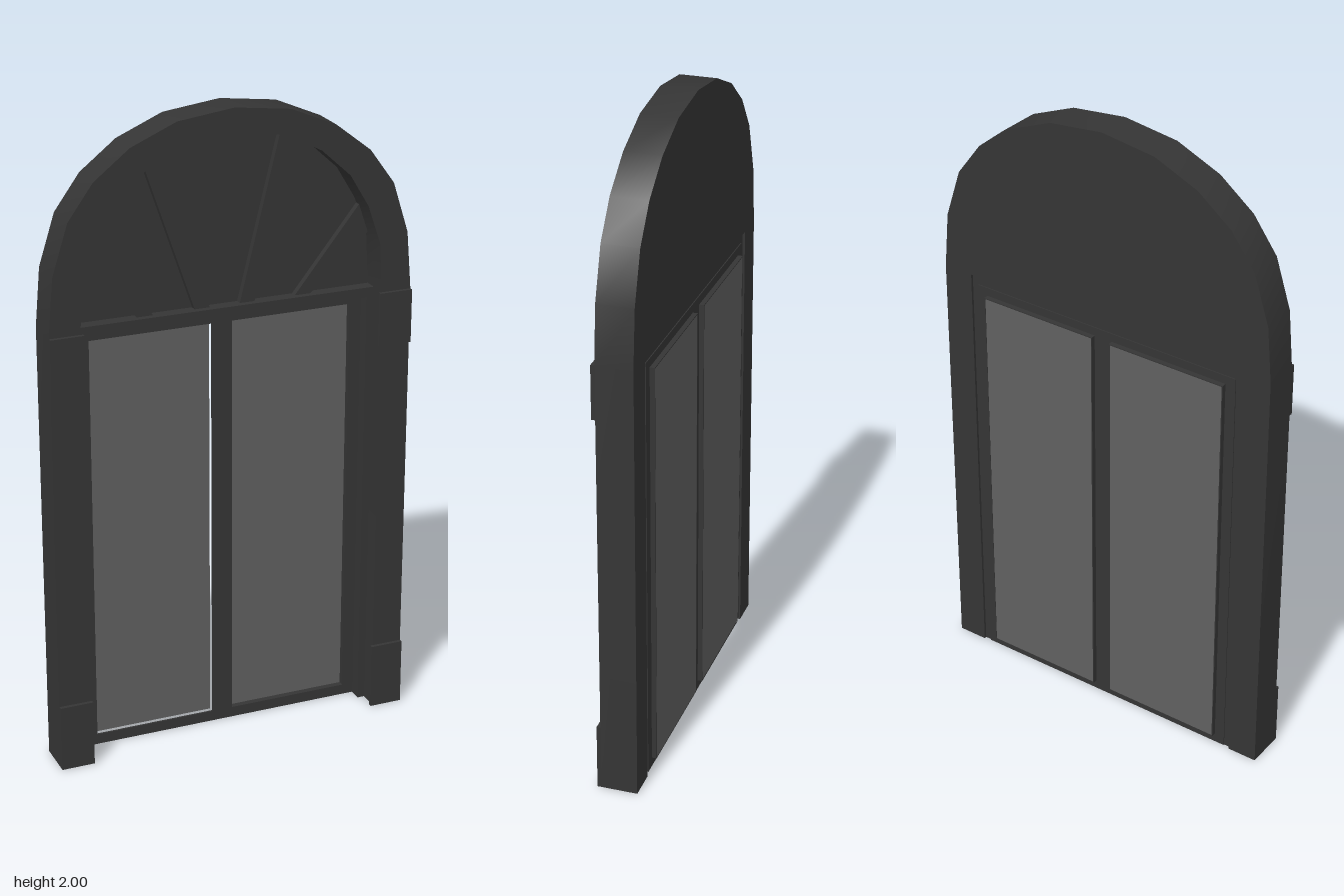
import * as THREE from 'three';
import { toCreasedNormals } from 'three/addons/utils/BufferGeometryUtils.js';

export function createModel() {
  const model = new THREE.Group();
  model.name = 'archedWindow';
  const dark = new THREE.MeshStandardMaterial({ color: 0x353535 });
  const glass = new THREE.MeshStandardMaterial({ color: 0x606060 });

  const add = (name, geometry, material = dark) => {
    const mesh = new THREE.Mesh(geometry, material);
    mesh.name = name;
    model.add(mesh);
    return mesh;
  };
  // Box given by its limits on each axis
  const box = (name, x0, x1, y0, y1, z0, z1, material) =>
    add(name, new THREE.BoxGeometry(x1 - x0, y1 - y0, z1 - z0), material)
      .position.set((x0 + x1) / 2, (y0 + y1) / 2, (z0 + z1) / 2);
  // Flat outline extruded between two depths
  const slab = (name, points, z0, z1, holes = []) => {
    const shape = new THREE.Shape(points.map(([x, y]) => new THREE.Vector2(x, y)));
    for (const h of holes) shape.holes.push(new THREE.Path(h.map(([x, y]) => new THREE.Vector2(x, y))));
    const g = new THREE.ExtrudeGeometry(shape, { depth: z1 - z0, bevelEnabled: false });
    g.translate(0, 0, z0);
    return add(name, toCreasedNormals(g, 0.5));
  };
  const rect = (x0, x1, y0, y1) => [[x0, y0], [x1, y0], [x1, y1], [x0, y1]];
  // Half arch from springing to crown, mirrored into a full one
  const mirrorArch = half => [...half, ...half.slice(0, -1).reverse().map(([x, y]) => [-x, y])];

  const back = -0.058, front = 0.055, spring = 1.387;
  const outer = mirrorArch([[0.57, spring], [0.555, 1.566], [0.506, 1.722], [0.428, 1.83],
    [0.317, 1.917], [0.175, 1.978], [0, 2]]);
  const inner = mirrorArch([[0.475, spring], [0.466, 1.54], [0.425, 1.66], [0.365, 1.76],
    [0.272, 1.845], [0.155, 1.905], [0, 1.925]]);

  // Surround: pillars and arch in one piece
  slab('surround', [[0.57, 0], ...outer, [-0.57, 0], [-0.475, 0], ...[...inner].reverse(), [0.475, 0]],
    back, front);

  // Panel filling the arch, with tapered rays
  slab('archPanel', inner, back, -0.04);
  const rays = [
    [[0.048, spring], [0.095, spring], [0.255, 1.855], [0.175, 1.897]],
    [[0.225, spring], [0.275, spring], [0.465, 1.56], [0.435, 1.65]],
  ];
  for (const s of [1, -1])
    for (const ray of rays) slab('archRay', ray.map(([x, y]) => [s * x, y]), -0.045, -0.02);

  // Lintel, jambs, pillar blocks and the two panes
  box('lintel', -0.475, 0.475, 1.357, spring, -0.05, 0);
  const pane = rect(0.033, 0.417, 0.033, 1.327), opening = rect(0.03, 0.42, 0.03, 1.33);
  const mirrored = points => points.map(([x, y]) => [-x, y]);
  for (const s of [1, -1]) {
    const side = (name, a, b, ...rest) => box(name, Math.min(s * a, s * b), Math.max(s * a, s * b), ...rest);
    side('jamb', 0.453, 0.475, 0, 1.357, -0.05, 0);
    side('pillarBase', 0.466, 0.57, 0, 0.21, front, 0.067);
    side('pillarCapital', 0.466, 0.57, 1.22, spring, front, 0.067);
    side('glassPane', 0.033, 0.417, 0.033, 1.327, -0.067, -0.061, glass);
    // Thin sash around each pane, standing out at the back
    slab('paneSash', s > 0 ? opening : mirrored(opening), -0.068, -0.042, [s > 0 ? pane : mirrored(pane)]);
  }

  // Thin door frame with two openings
  slab('doorFrame', rect(-0.453, 0.453, 0, 1.357), -0.053, -0.042, [opening, mirrored(opening)]);

  return model;
}
